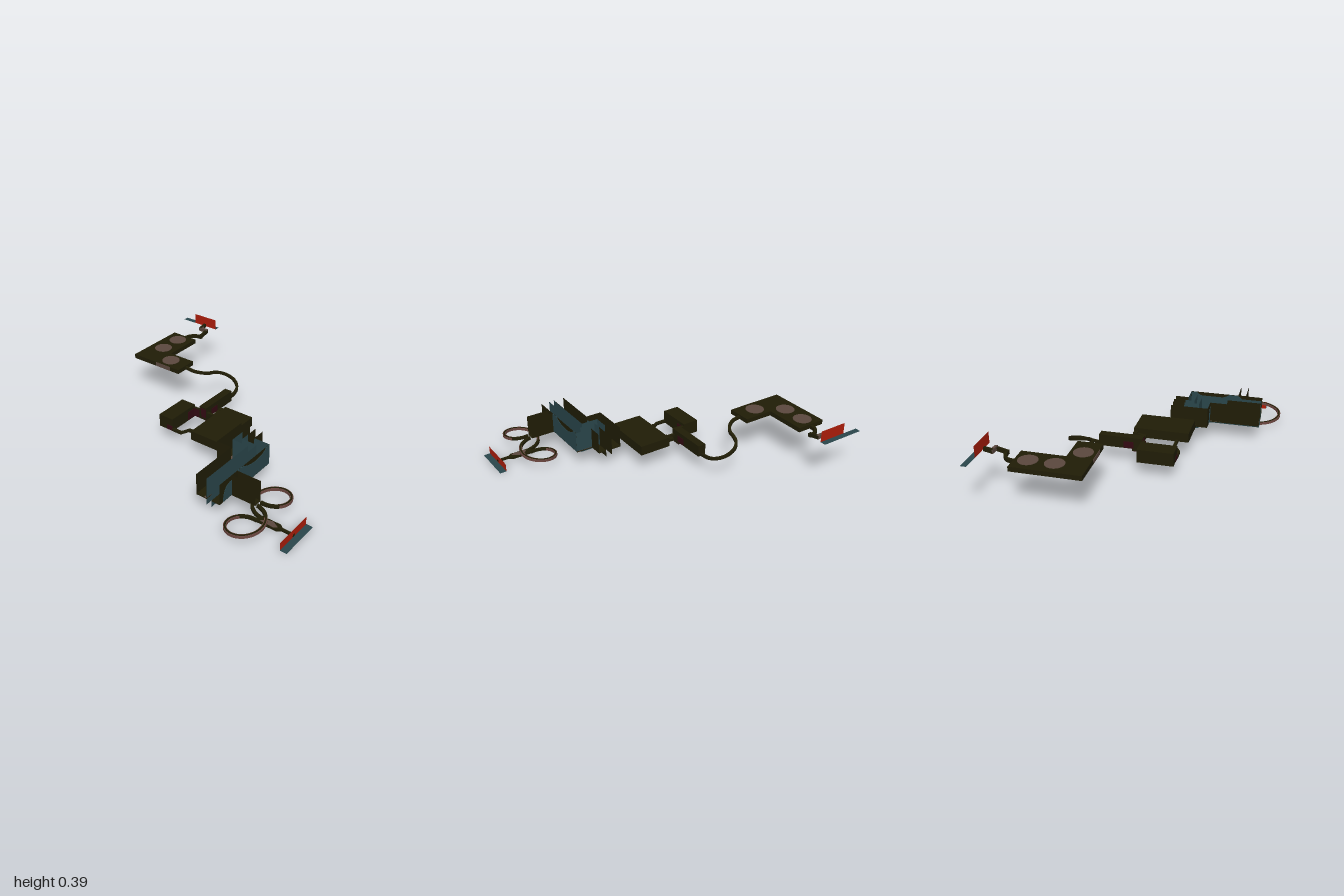
import * as THREE from 'three';

const mat = (name, color) => {
  const m = new THREE.MeshStandardMaterial({ color, side: THREE.DoubleSide });
  m.name = name;
  return m;
};

export function createModel() {
  const olive = mat('dark olive', 0x201d06);
  const brown = mat('dusty brown', 0x5b483e);
  const rose = mat('rose brown', 0x6c4740);
  const teal = mat('slate teal', 0x2a464b);
  const red = mat('brick red', 0xae1d0a);
  const maroon = mat('dark maroon', 0x330a12);
  const root = new THREE.Group();

  const add = (parent, name, geo, material) => {
    const m = new THREE.Mesh(geo, material);
    m.name = name;
    parent.add(m);
    return m;
  };
  const group = (name) => {
    const g = new THREE.Group();
    g.name = name;
    root.add(g);
    return g;
  };
  // box given by its minimum and maximum on each axis
  const box = (parent, name, material, x0, x1, y0, y1, z0, z1) => {
    const m = add(parent, name, new THREE.BoxGeometry(x1 - x0, y1 - y0, z1 - z0), material);
    m.position.set((x0 + x1) / 2, (y0 + y1) / 2, (z0 + z1) / 2);
    return m;
  };
  // upright sheet standing on the line from (x0, z0) to (x1, z1)
  const sheet = (parent, name, material, [x0, z0], [x1, z1], y0, y1) => {
    const m = add(parent, name, new THREE.PlaneGeometry(Math.hypot(x1 - x0, z1 - z0), y1 - y0), material);
    m.position.set((x0 + x1) / 2, (y0 + y1) / 2, (z0 + z1) / 2);
    m.rotation.y = -Math.atan2(z1 - z0, x1 - x0);
    return m;
  };
  // level sheet at height y
  const strip = (parent, name, material, x0, x1, y, z0, z1) => {
    const geo = new THREE.PlaneGeometry(x1 - x0, z1 - z0).rotateX(-Math.PI / 2);
    add(parent, name, geo, material).position.set((x0 + x1) / 2, y, (z0 + z1) / 2);
  };
  // plan outline [x, z] raised from y0 to y1
  const prism = (parent, name, material, pts, y0, y1) => {
    const shape = new THREE.Shape(pts.map(([x, z]) => new THREE.Vector2(x, -z)));
    const geo = new THREE.ExtrudeGeometry(shape, { depth: y1 - y0, bevelEnabled: false });
    geo.rotateX(-Math.PI / 2).translate(0, y0, 0);
    return add(parent, name, geo, material);
  };
  // rectangular track swept through sample points, kept level across
  const track = (parent, name, material, points, w = 0.02, h = 0.018) => {
    const pos = [], idx = [], n = points.length;
    points.forEach((p, i) => {
      const d = points[Math.min(i + 1, n - 1)].clone().sub(points[Math.max(i - 1, 0)]);
      const s = new THREE.Vector3(-d.z, 0, d.x).normalize().multiplyScalar(w / 2);
      for (const [a, b] of [[1, 1], [-1, 1], [-1, -1], [1, -1]])
        pos.push(p.x + s.x * a, p.y + b * h / 2, p.z + s.z * a);
    });
    for (let i = 0; i < n - 1; i++)
      for (let k = 0; k < 4; k++) {
        const a = i * 4 + k, b = i * 4 + (k + 1) % 4;
        idx.push(a, b, a + 4, b, b + 4, a + 4);
      }
    const e = (n - 1) * 4;
    idx.push(0, 2, 1, 0, 3, 2, e, e + 1, e + 2, e, e + 2, e + 3);
    let geo = new THREE.BufferGeometry();
    geo.setAttribute('position', new THREE.Float32BufferAttribute(pos, 3));
    geo.setIndex(idx);
    geo = geo.toNonIndexed();
    geo.computeVertexNormals();
    return add(parent, name, geo, material);
  };
  const v = (pts) => pts.map((p) => new THREE.Vector3(...p));
  const smooth = (pts, n = 40) => new THREE.CatmullRomCurve3(v(pts)).getPoints(n);

  // Start gate: flat strip with an upright plate on its near edge
  const start = group('startGate');
  strip(start, 'startStrip', teal, -1, -0.68, 0.31, -0.86, -0.82);
  sheet(start, 'startPlate', red, [-0.885, -0.82], [-0.68, -0.82], 0.31, 0.388);
  track(start, 'startCurve', olive, smooth([[-0.815, 0.28, -0.59], [-0.81, 0.28, -0.635],
    [-0.79, 0.28, -0.665], [-0.755, 0.282, -0.682], [-0.715, 0.284, -0.682]], 16), 0.02, 0.024);
  track(start, 'startRiser', olive, v([[-0.725, 0.285, -0.673], [-0.725, 0.305, -0.765]]), 0.02, 0.026);
  track(start, 'startJog', brown, v([[-0.715, 0.307, -0.757], [-0.79, 0.311, -0.757]]), 0.02, 0.027);
  track(start, 'startStem', olive, v([[-0.78, 0.311, -0.75], [-0.78, 0.322, -0.81]]), 0.02, 0.027);
  sheet(start, 'stemMark', brown, [-0.769, -0.785], [-0.769, -0.75], 0.3, 0.326);

  // L-shaped platform with three round pads
  const platform = group('platform');
  prism(platform, 'platformSlab', olive, [[-0.92, -0.597], [-0.71, -0.597], [-0.71, -0.305],
    [-0.5, -0.305], [-0.5, -0.135], [-0.92, -0.135]], 0.268, 0.3);
  for (const [x, z] of [[-0.815, -0.51], [-0.815, -0.34], [-0.64, -0.22]])
    add(platform, 'roundPad', new THREE.CylinderGeometry(0.064, 0.064, 0.004, 40), brown)
      .position.set(x, 0.301, z);
  box(platform, 'padFrontMark', brown, -0.71, -0.58, 0.269, 0.3, -0.136, -0.133);

  // Curving descent ending in a half circle
  const descent = smooth([[-0.5, 0.284, -0.225], [-0.44, 0.273, -0.228],
    [-0.385, 0.26, -0.262], [-0.355, 0.245, -0.31], [-0.35, 0.238, -0.345], [-0.336, 0.222, -0.395],
    [-0.3, 0.204, -0.431], [-0.25, 0.185, -0.444], [-0.2, 0.165, -0.431], [-0.164, 0.148, -0.395],
    [-0.15, 0.133, -0.345], [-0.15, 0.122, -0.265]], 70);
  track(root, 'descentTrack', olive, descent);

  // Middle section: narrow wall, side box and main block
  const middle = group('middleSection');
  box(middle, 'narrowWall', olive, -0.177, -0.12, 0.115, 0.195, -0.27, 0.03);
  for (const x of [-0.121, -0.179])
    box(middle, 'wallSideMark', maroon, x, x + 0.003, 0.118, 0.165, -0.1, -0.03);
  box(middle, 'wallFrontMark', maroon, -0.176, -0.121, 0.116, 0.185, 0.028, 0.033);
  box(middle, 'sideBox', olive, -0.33, -0.215, 0.103, 0.195, 0.03, 0.275);
  box(middle, 'sideBoxMark', maroon, -0.216, -0.212, 0.108, 0.17, 0.04, 0.11);
  box(middle, 'sideBoxFrontMark', maroon, -0.265, -0.216, 0.105, 0.14, 0.273, 0.278);
  box(middle, 'wallLink', olive, -0.22, -0.16, 0.115, 0.18, 0.03, 0.048);
  box(middle, 'wallLinkMark', maroon, -0.215, -0.162, 0.116, 0.178, 0.046, 0.05);
  box(middle, 'wallFoot', olive, -0.177, -0.12, 0.1, 0.13, -0.04, 0.03);
  box(middle, 'wallFootMark', maroon, -0.176, -0.121, 0.097, 0.1, -0.039, 0.029);
  track(middle, 'stepLink', olive, v([[-0.13, 0.15, 0.015], [-0.05, 0.15, 0.015]]));
  track(middle, 'stepRiser', olive, v([[-0.055, 0.155, 0.025], [-0.055, 0.17, -0.065]]));
  track(middle, 'stepTop', olive, v([[-0.065, 0.17, -0.05], [-0.01, 0.17, -0.05]]), 0.03);
  track(middle, 'lowLink', olive, v([[-0.22, 0.114, 0.27], [-0.145, 0.114, 0.27],
    [-0.105, 0.13, 0.232], [-0.01, 0.135, 0.232]]));
  box(middle, 'mainBlock', olive, -0.025, 0.2, 0.165, 0.197, -0.067, 0.312);
  for (let i = 0; i < 6; i++) {
    const z = -0.067 + i * 0.0678;
    box(middle, 'blockRib', olive, -0.025, 0.2, 0.13, 0.166, z, z + 0.04);
  }
  for (const x of [-0.025, 0.188])
    box(middle, 'blockSide', olive, x, x + 0.012, 0.13, 0.166, -0.067, 0.312);
  track(middle, 'exitLink', olive, v([[0.19, 0.134, 0.302], [0.26, 0.134, 0.302]]));

  // Stepped corridor: two open-topped channels with thin upright walls
  const corridor = group('corridor');
  prism(corridor, 'innerFloor', olive, [[0.248, 0.127], [0.315, 0.127], [0.315, 0.317],
    [0.433, 0.317], [0.433, 0.738], [0.357, 0.738], [0.357, 0.39], [0.248, 0.39]], 0.122, 0.128);
  prism(corridor, 'outerFloor', olive, [[0.36, 0.127], [0.415, 0.127], [0.415, 0.222],
    [0.53, 0.222], [0.53, 0.738], [0.47, 0.738], [0.47, 0.275], [0.36, 0.275]], 0.122, 0.128);
  prism(corridor, 'innerFloorMark', brown, [[0.315, 0.22], [0.315, 0.317], [0.433, 0.317], [0.433, 0.738],
    [0.415, 0.738], [0.415, 0.5], [0.357, 0.46], [0.357, 0.39], [0.262, 0.39], [0.3, 0.3]], 0.127, 0.13);
  prism(corridor, 'outerFloorMark', brown, [[0.415, 0.222], [0.53, 0.222], [0.53, 0.37],
    [0.47, 0.4], [0.47, 0.275], [0.4, 0.275]], 0.127, 0.13);
  prism(corridor, 'outerFloorMark', brown, [[0.47, 0.44], [0.53, 0.44], [0.53, 0.56], [0.47, 0.58]], 0.127, 0.13);

  // each run: lower edge, corner points, and one colour per stretch
  const runs = [
    [0.125, [[0.248, 0.127], [0.248, 0.39], [0.357, 0.39], [0.357, 0.738]], [olive, olive, olive]],
    [0.08, [[0.315, 0.127], [0.315, 0.21], [0.315, 0.317], [0.433, 0.317], [0.433, 0.738]], [olive, teal, teal, teal]],
    [0.08, [[0.36, 0.127], [0.36, 0.21], [0.36, 0.275], [0.47, 0.275], [0.47, 0.738]], [olive, teal, teal, teal]],
    [0.125, [[0.415, 0.127], [0.415, 0.222], [0.53, 0.222], [0.53, 0.738]], [olive, teal, olive]],
    [0.122, [[0.53, 0.565], [0.7, 0.565]], [olive]],
    [0.122, [[0.53, 0.62], [0.7, 0.62]], [olive]],
  ];
  for (const [y0, pts, colours] of runs)
    colours.forEach((c, i) => sheet(corridor, 'channelWall', c, pts[i], pts[i + 1], y0, 0.27));
  sheet(corridor, 'innerWallLining', olive, [0.43, 0.5], [0.43, 0.738], 0.128, 0.269);

  // rounded colour patches on the stepped faces and the outermost wall
  const patch = (shape, turn, x, z) => {
    const geo = new THREE.ExtrudeGeometry(shape, { depth: 0.005, bevelEnabled: false });
    add(corridor, 'wallPatch', geo.rotateY(turn).translate(x, 0, z), teal);
  };
  const step = new THREE.Shape();
  step.moveTo(0.312, 0.126).bezierCurveTo(0.313, 0.18, 0.325, 0.23, 0.356, 0.24);
  step.lineTo(0.356, 0.126);
  patch(step, 0, 0, 0.3875);
  const side = new THREE.Shape();
  side.moveTo(-0.705, 0.126).bezierCurveTo(-0.705, 0.21, -0.67, 0.235, -0.62, 0.235);
  side.bezierCurveTo(-0.59, 0.235, -0.58, 0.268, -0.55, 0.268);
  side.lineTo(-0.5, 0.268).bezierCurveTo(-0.44, 0.22, -0.3, 0.22, -0.26, 0.268);
  side.lineTo(-0.223, 0.268).lineTo(-0.223, 0.126);
  patch(side, Math.PI / 2, 0.5275, 0);
  sheet(corridor, 'branchOpening', olive, [0.535, 0.565], [0.535, 0.62], 0.122, 0.27);
  box(corridor, 'branchFloor', olive, 0.53, 0.7, 0.122, 0.128, 0.565, 0.62);

  // Two descending loops, mirrored, meeting at the low exit
  const loops = group('loops');
  for (const dir of [-1, 1]) {
    const at = (t, lift) => {
      const a = t * Math.PI * 2;
      return new THREE.Vector3(0.71 + 0.117 * Math.sin(a), 0.125 - 0.113 * t + lift,
        0.594 + dir * (0.018 + 0.121 * (1 - Math.cos(a))));
    };
    const part = (a, b, n, lift = 0) => Array.from({ length: n + 1 }, (_, i) => at(a + (b - a) * i / n, lift));
    track(loops, 'loopStart', olive, part(0, 0.15, 14));
    track(loops, 'loopMiddle', rose, part(0.15, 0.85, 50));
    track(loops, 'loopMiddleStripe', olive, part(0.15, 0.85, 50, 0.009), 0.011, 0.003);
    track(loops, 'loopEnd', olive, part(0.85, 1, 14));
  }
  prism(loops, 'exitTrack', olive, [[0.7, 0.565], [0.85, 0.565], [0.875, 0.585], [0.957, 0.585],
    [0.957, 0.602], [0.875, 0.602], [0.85, 0.62], [0.7, 0.62]], 0.006, 0.02);
  prism(loops, 'exitMark', brown, [[0.73, 0.61], [0.76, 0.58], [0.8, 0.57], [0.85, 0.6], [0.83, 0.615]], 0.019, 0.022);

  // Finish gate
  const finish = group('finishGate');
  strip(finish, 'finishStrip', teal, 0.953, 1, 0, 0.452, 0.738);
  sheet(finish, 'finishPlate', red, [0.954, 0.455], [0.954, 0.738], 0, 0.056);

  return root;
}
